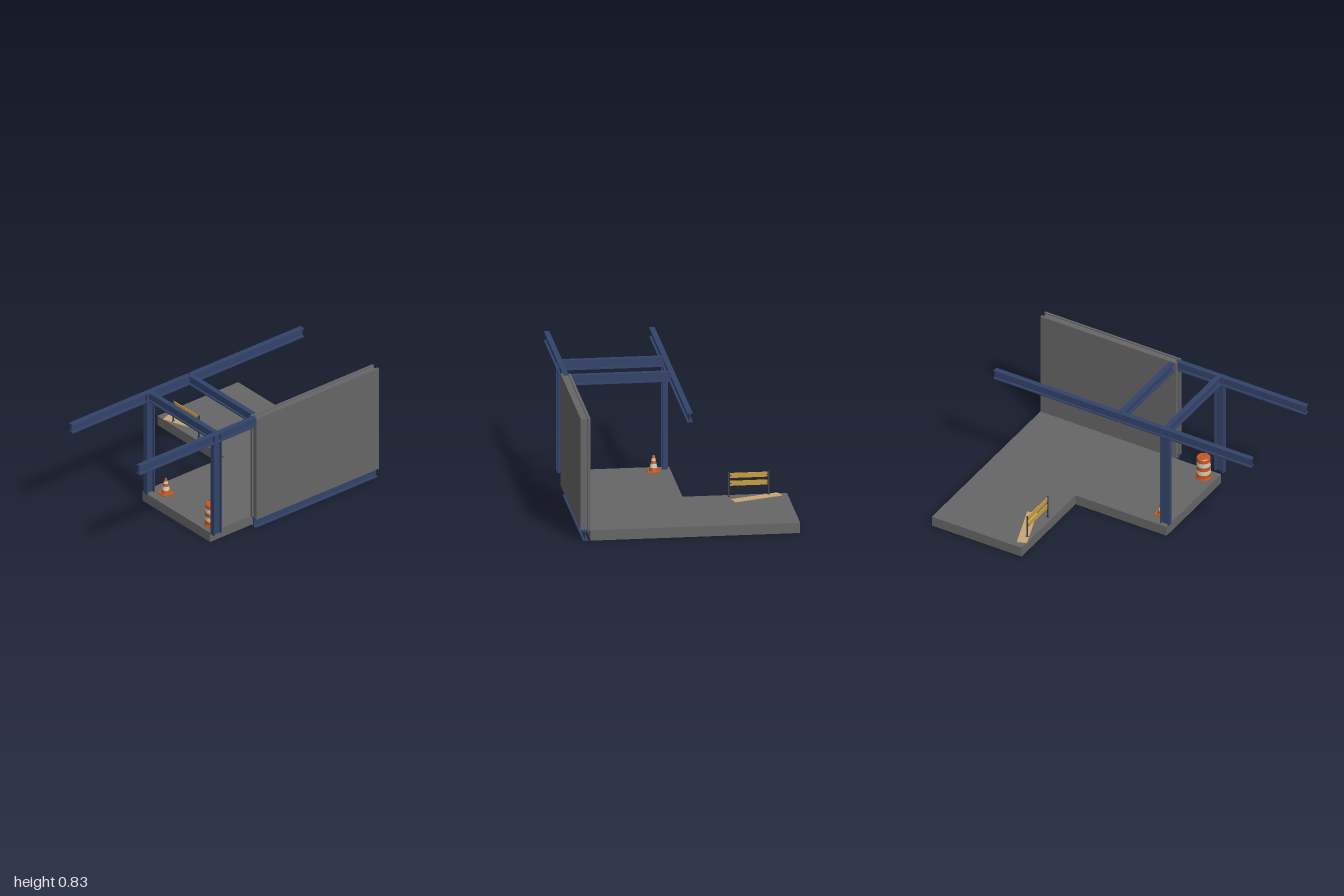
import * as THREE from 'three';

const mat = (name, color, extra = {}) => Object.assign(new THREE.MeshStandardMaterial({ color, ...extra }), { name });

export function createModel() {
  const concrete = mat('concrete grey', 0x666666);
  const steel = mat('steel navy', 0x32436a);
  const orange = mat('safety orange', 0xc8591f);
  const white = mat('reflective white', 0xcfcac2);
  const yellow = mat('board yellow', 0xc99f3c);
  const wood = mat('raw wood', 0xc9a678);
  const dark = mat('post grey', 0x3c4148);
  const model = new THREE.Group();

  const add = (parent, name, geometry, material, x = 0, y = 0, z = 0) => {
    const mesh = new THREE.Mesh(geometry, material);
    mesh.name = name;
    mesh.position.set(x, y, z);
    parent.add(mesh);
    return mesh;
  };
  // Box given by its minimum and maximum corners
  const block = (parent, name, material, a, b) => add(parent, name,
    new THREE.BoxGeometry(b[0] - a[0], b[1] - a[1], b[2] - a[2]), material,
    (a[0] + b[0]) / 2, (a[1] + b[1]) / 2, (a[2] + b[2]) / 2);
  const group = (name, x, y, z) => {
    const g = new THREE.Group();
    g.name = name;
    g.position.set(x, y, z);
    model.add(g);
    return g;
  };

  // I-section extruded along z, centred on its own middle
  const iBeam = (length, w = 0.036, h = 0.068, flange = 0.009, web = 0.008) => {
    const W = w / 2, H = h / 2, F = H - flange, T = web / 2;
    const outline = [[-W, -H], [W, -H], [W, -F], [T, -F], [T, F], [W, F],
      [W, H], [-W, H], [-W, F], [-T, F], [-T, -F], [-W, -F]];
    const shape = new THREE.Shape(outline.map(p => new THREE.Vector2(...p)));
    return new THREE.ExtrudeGeometry(shape, { depth: length, bevelEnabled: false }).translate(0, 0, -length / 2);
  };

  // L-shaped floor slab
  const plan = [[-0.72, 1], [-0.72, 0.32], [-0.035, 0.32], [-0.035, -0.37], [0.655, -0.37], [0.655, 1]];
  const floor = new THREE.ExtrudeGeometry(new THREE.Shape(plan.map(p => new THREE.Vector2(...p))),
    { depth: 0.07, bevelEnabled: false });
  floor.rotateX(-Math.PI / 2);
  add(model, 'floorSlab', floor, concrete);

  // Double-skin wall with a recessed core, carried by a sill beam
  block(model, 'innerWallPanel', concrete, [0.655, 0.07, -1], [0.672, 0.83, 0.03]);
  block(model, 'outerWallPanel', concrete, [0.706, 0.07, -1], [0.72, 0.83, 0.03]);
  block(model, 'wallCore', concrete, [0.672, 0.072, -0.985], [0.706, 0.822, 0.015]);
  add(model, 'sillBeam', iBeam(1.03, 0.036, 0.07), steel, 0.688, 0.035, -0.485);

  // Roof beams along the depth
  const roofY = 0.796, left = 0.688, colZ = 0.343;
  const runs = [['rearRoofBeam', -0.003, -0.95, -0.005], ['frontRoofBeam', -0.003, 0.005, 1], ['wallRoofBeam', left, 0.016, 1]];
  for (const [name, x, z0, z1] of runs)
    add(model, name, iBeam(z1 - z0), steel, x, roofY, (z0 + z1) / 2);

  // Cross beams between the roof beams
  for (const [name, z, x1] of [['rearCrossBeam', 0, 0.655], ['frontCrossBeam', 0.34, 0.684]])
    add(model, name, iBeam(x1), steel, x1 / 2, roofY, z).rotation.y = Math.PI / 2;

  // Columns with stiffener plates in the beams above them
  for (const x of [-0.001, left]) {
    add(model, 'column', iBeam(0.692), steel, x, 0.416, colZ).rotation.x = Math.PI / 2;
    for (const dz of [-0.028, 0.028])
      add(model, 'stiffener', new THREE.BoxGeometry(0.032, 0.052, 0.006), steel, x, roofY, colZ + dz);
  }

  // Banded round body: rows of [radius, height], each band in its own colour
  const banded = (parent, name, rows) => {
    for (let i = 0; i < rows.length - 1; i++) {
      const [r0, y0, material] = rows[i], [r1, y1] = rows[i + 1];
      add(parent, name, new THREE.CylinderGeometry(r1, r0, y1 - y0, 28), material, 0, (y0 + y1) / 2, 0);
    }
  };

  // Traffic drum with a carrying handle
  const drum = group('trafficDrum', 0.576, 0.07, 0.285);
  banded(drum, 'drumBase', [[0.054, 0, orange], [0.052, 0.01]]);
  banded(drum, 'drumBand', [[0.048, 0.01, orange], [0.048, 0.036, white], [0.047, 0.066, orange],
    [0.047, 0.096, white], [0.046, 0.128, orange], [0.046, 0.153, orange], [0.04, 0.16]]);
  const grip = new THREE.CatmullRomCurve3([[-0.034, 0.155], [-0.03, 0.167], [0.03, 0.167], [0.034, 0.155]]
    .map(([x, y]) => new THREE.Vector3(x, y, 0)), false, 'catmullrom', 0.2);
  add(drum, 'drumHandle', new THREE.TubeGeometry(grip, 16, 0.005, 8), orange);

  // Traffic cone on a square foot
  const cone = group('trafficCone', 0.08, 0.07, 0.268);
  add(cone, 'coneFoot', new THREE.BoxGeometry(0.08, 0.007, 0.08), orange, 0, 0.0035, 0);
  banded(cone, 'coneBand', [[0.03, 0.007, orange], [0.025, 0.03, white], [0.0195, 0.056, orange],
    [0.015, 0.076, white], [0.0115, 0.093, orange], [0.007, 0.112]]);

  // Two-board barricade on posts
  const barricade = group('barricade', -0.465, 0.07, -0.352);
  for (const s of [-1, 1]) {
    add(barricade, 'post', new THREE.BoxGeometry(0.008, 0.165, 0.008), dark, s * 0.131, 0.0825, 0);
    add(barricade, 'postFoot', new THREE.BoxGeometry(0.012, 0.006, 0.02), dark, s * 0.131, 0.003, 0);
    for (const y of [0.088, 0.142])
      add(barricade, 'bracket', new THREE.BoxGeometry(0.016, 0.005, 0.009), dark, s * 0.121, y, 0);
  }
  for (const y of [0.089, 0.142])
    add(barricade, 'board', new THREE.BoxGeometry(0.246, 0.033, 0.006), yellow, 0, y, 0);

  // Loose plank lying on the floor
  add(model, 'plank', new THREE.BoxGeometry(0.343, 0.005, 0.067), wood, -0.508, 0.0725, -0.405).rotation.y = 0.345;

  return model;
}
